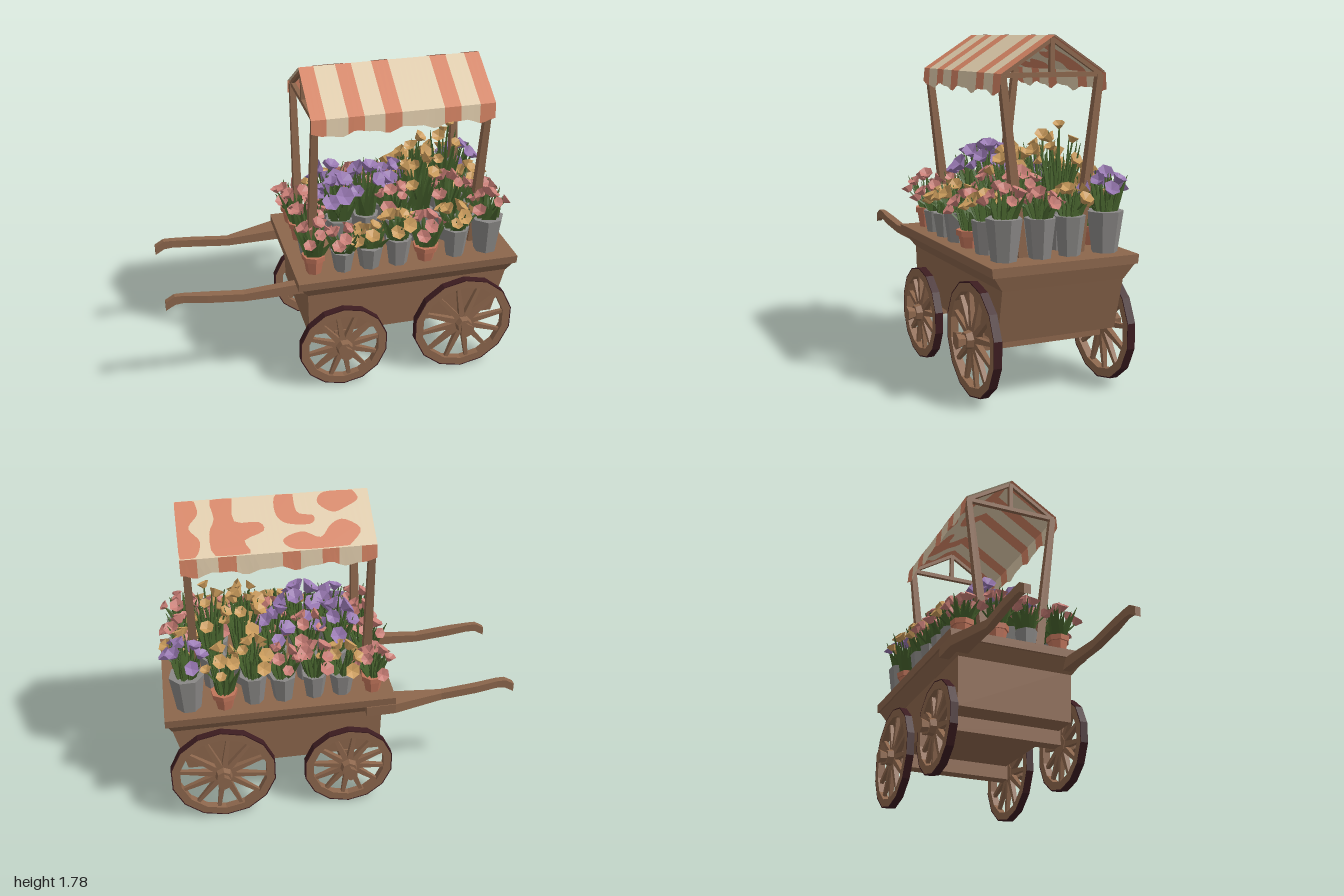
import * as THREE from 'three';
import { mergeGeometries } from 'three/addons/utils/BufferGeometryUtils.js';

const mat = (name, color) => new THREE.MeshStandardMaterial({ name, color, side: THREE.DoubleSide });
const M = {
  wood: mat('wood', 0x8c664c), tyre: mat('dark tyre', 0x3c1c20), grey: mat('bucket grey', 0x8a8886),
  terra: mat('terracotta', 0xc0745a), leaf: mat('leaf green', 0x45602c), cream: mat('cream cloth', 0xdfcbab),
  orange: mat('orange cloth', 0xd58464), pink: mat('pink petals', 0xc97e76),
  yellow: mat('yellow petals', 0xcb9c5c), purple: mat('purple petals', 0x9878b2),
};
const V = (x, y, z) => new THREE.Vector3(x, y, z);
const UP = V(0, 1, 0);

let seed = 7;
const rnd = (a = 0, b = 1) => {
  seed = (seed * 16807) % 2147483647;
  return a + (b - a) * (seed / 2147483647);
};

// faceted copy with only positions and normals
function flat(g) {
  const f = g.index ? g.toNonIndexed() : g;
  f.deleteAttribute('uv');
  f.computeVertexNormals();
  return f;
}
function add(parent, name, material, ...geos) {
  const m = new THREE.Mesh(mergeGeometries(geos.map(flat)), material);
  m.name = name;
  parent.add(m);
  return m;
}
// move each vertex of a geometry by a rule
function bend(g, rule) {
  const p = g.attributes.position, v = V(0, 0, 0);
  for (let i = 0; i < p.count; i++) {
    v.fromBufferAttribute(p, i);
    rule(v);
    p.setXYZ(i, v.x, v.y, v.z);
  }
  return g;
}
// square tapered bar between two points
function beam(a, b, w0, w1 = w0, sides = 4) {
  const d = b.clone().sub(a), len = d.length();
  const g = new THREE.CylinderGeometry(w1 * 0.707, w0 * 0.707, len, sides).rotateY(Math.PI / 4).translate(0, len / 2, 0);
  return g.applyQuaternion(new THREE.Quaternion().setFromUnitVectors(UP, d.normalize())).translate(a.x, a.y, a.z);
}
// box whose lower and upper rectangles differ: [x0, x1, half depth, y]
function frustum(lo, hi) {
  return bend(new THREE.BoxGeometry(1, 1, 1), v => {
    const r = v.y > 0 ? hi : lo;
    v.set(v.x > 0 ? r[1] : r[0], r[3], Math.sign(v.z) * r[2]);
  });
}
// bar along x through stations [x, y, height, z0, z1]
function loft(st) {
  const n = st.length - 1;
  return bend(new THREE.BoxGeometry(1, 1, 1, n, 1, 1), v => {
    const s = st[Math.round((v.x + 0.5) * n)];
    v.set(s[0], s[1] + v.y * s[2], v.z > 0 ? s[4] : s[3]);
  });
}

function wheel(x, R, side, spokes) {
  const w = new THREE.Group();
  w.name = 'wheel';
  const t = 0.021, ri = R - 0.05, ro = R - 0.006;
  const ring = pts => new THREE.LatheGeometry(pts.map(p => new THREE.Vector2(...p)), 14).rotateX(Math.PI / 2);
  add(w, 'rim', M.wood, ring([[ro, t], [ri, t], [ri, -t], [ro, -t]]));
  add(w, 'tyre', M.tyre, ring([[ro, -t], [R, -t], [R, t], [ro, t]]));
  const bars = [];
  for (let i = 0; i < spokes; i++) {
    const a = (i + 0.3) / spokes * Math.PI * 2, c = Math.cos(a), s = Math.sin(a);
    bars.push(beam(V(c * 0.03, s * 0.03, 0), V(c * (ri + 0.01), s * (ri + 0.01), 0), 0.034, 0.019));
  }
  add(w, 'spokes', M.wood, ...bars);
  add(w, 'hub', M.wood,
    new THREE.CylinderGeometry(0.042, 0.058, 0.07, 7).rotateX(side * Math.PI / 2).translate(0, 0, side * 0.015),
    new THREE.CylinderGeometry(0.042, 0.026, 0.05, 6).rotateX(side * Math.PI / 2).translate(0, 0, side * 0.07));
  w.position.set(x, R, side * 0.367);
  return w;
}

// cloth strip from ridge over the eave to a ragged hem; rows are [y, z]
function cloth(x0, x1, side, rows, ragged) {
  const n = Math.max(1, Math.round((x1 - x0) / 0.03)), k = rows.length - 1;
  return bend(new THREE.PlaneGeometry(1, 1, n, k), v => {
    const r = rows[Math.round((0.5 - v.y) * k)], x = x0 + (v.x + 0.5) * (x1 - x0);
    const wave = ragged && r === rows[k] ? 0.012 * Math.sin(x * 24) + 0.006 * Math.sin(x * 51) : 0;
    v.set(x, r[0] + wave, side * r[1]);
  });
}

function awning() {
  const g = new THREE.Group();
  g.name = 'awning';
  const ridge = [1.78, 0], eave = [1.6, 0.283], hem = [1.512, 0.29];
  const cuts = [-0.2, -0.12, -0.005, 0.08, 0.19, 0.28, 0.51, 0.6, 0.705, 0.79];
  const front = [[], []], backHem = [[], []];
  for (let i = 0; i < 9; i++) {
    front[i % 2].push(cloth(cuts[i], cuts[i + 1], 1, [ridge, eave, hem], true));
    backHem[i % 2].push(cloth(cuts[i], cuts[i + 1], -1, [eave, hem], true));
  }
  add(g, 'front stripes', M.orange, ...front[0]);
  add(g, 'front cloth', M.cream, ...front[1]);
  add(g, 'back hem stripes', M.orange, ...backHem[0]);
  add(g, 'back cloth', M.cream, ...backHem[1], cloth(-0.2, 0.79, -1, [ridge, eave]));
  // irregular stains on the back slope: x, share of the way down
  const blots = [
    [[-0.12, 0.02], [0.03, 0.02], [0.07, 0.2], [0, 0.38], [-0.08, 0.3], [-0.14, 0.18]],
    [[-0.06, 0.98], [0.2, 0.98], [0.27, 0.8], [0.17, 0.68], [0.08, 0.8], [0.02, 0.6], [-0.05, 0.52], [-0.13, 0.72]],
    [[0.19, 0.02], [0.28, 0.02], [0.29, 0.34], [0.24, 0.52], [0.12, 0.56], [0.1, 0.42], [0.18, 0.34]],
    [[0.5, 0.02], [0.61, 0.02], [0.6, 0.35], [0.63, 0.6], [0.61, 0.98], [0.44, 0.98], [0.46, 0.76], [0.36, 0.62], [0.38, 0.46], [0.5, 0.42]],
    [[0.69, 0.02], [0.79, 0.02], [0.79, 0.98], [0.71, 0.98], [0.68, 0.72], [0.73, 0.48], [0.68, 0.25]],
  ];
  const plates = [];
  for (const off of [0.003, -0.003]) for (const b of blots) {
    const shape = new THREE.Shape(new THREE.SplineCurve([...b, b[0]].map(p => new THREE.Vector2(...p))).getPoints(30));
    plates.push(bend(new THREE.ShapeGeometry(shape), v => {
      const s = Math.min(0.99, Math.max(0.01, v.y));
      v.set(Math.min(0.79, v.x), 1.78 - 0.18 * s + off, -0.283 * s - off * 0.6);
    }));
  }
  add(g, 'back stains', M.orange, ...plates);

  // posts and gable frames
  const bars = [];
  for (const x of [-0.178, 0.758]) {
    for (const s of [1, -1]) {
      bars.push(beam(V(x, 0.7, s * 0.155), V(x, 1.59, s * 0.265), 0.05, 0.034));
      bars.push(beam(V(x, 1.59, s * 0.272), V(x, 1.762, 0), 0.02));
    }
    bars.push(beam(V(x, 1.592, -0.275), V(x, 1.592, 0.275), 0.024));
    bars.push(beam(V(x, 1.59, 0), V(x, 1.765, 0), 0.024));
  }
  add(g, 'awning frame', M.wood, ...bars);
  return g;
}

function plant([x, z, pot, potH, potR, petals, top]) {
  const g = new THREE.Group();
  g.name = 'potted plant';
  const base = 0.71, turn = rnd(0, 3);
  const potParts = [new THREE.CylinderGeometry(potR, potR * 0.7, potH, 7).rotateY(turn).translate(x, base + potH / 2, z)];
  if (pot === 'terra') potParts.push(new THREE.CylinderGeometry(potR * 1.12, potR * 1.08, 0.03, 7).rotateY(turn).translate(x, base + potH - 0.012, z));
  add(g, 'pot', M[pot], ...potParts);
  const y0 = base + potH - 0.01, H = top - y0, green = [], heads = [];
  // leaf blades
  for (let i = 0; i < 20; i++) {
    const a = i * 2.4 + rnd(), r = rnd(0.02, 0.1), h = H * rnd(0.5, 0.88);
    green.push(beam(V(x + Math.cos(a) * potR * 0.45, y0, z + Math.sin(a) * potR * 0.45),
      V(x + Math.cos(a) * (r + 0.02), y0 + h, z + Math.sin(a) * (r + 0.02)), 0.034, 0.002, 3));
  }
  // stems with crumpled cup flowers
  for (let i = 0; i < 8; i++) {
    const a = i * 2.4 + rnd(0, 0.8), r = 0.02 + 0.095 * Math.sqrt(i / 8), s = (petals === 'purple' ? 0.044 : 0.036) * rnd(0.8, 1.2);
    const tip = V(x + Math.cos(a) * r, top - s - H * (0.45 * i / 8 + rnd(0, 0.1)), z + Math.sin(a) * r);
    green.push(beam(V(x, y0, z), tip, 0.01, 0.007, 3));
    heads.push(bend(new THREE.CylinderGeometry(s, s * 0.35, s, 6), v => {
      if (v.y < 0) return;
      const q = Math.atan2(v.z, v.x);
      if (Math.hypot(v.x, v.z) < 1e-5) v.y -= s * 0.5;
      else { v.y += 0.3 * s * Math.cos(3 * q); v.x *= 1 + 0.2 * Math.cos(2 * q); }
    }).rotateY(a).rotateX(Math.sin(a) * rnd(0.3, 1)).rotateZ(-Math.cos(a) * rnd(0.3, 1)).translate(tip.x, tip.y + s * 0.3, tip.z));
  }
  add(g, 'leaves', M.leaf, ...green);
  add(g, 'flowers', M[petals], ...heads);
  return g;
}

export function createModel() {
  const cart = new THREE.Group();
  cart.name = 'flowerCart';

  // body
  add(cart, 'table top', M.wood, frustum([-0.3, 0.945, 0.395, 0.665], [-0.3, 0.945, 0.4, 0.712]));
  add(cart, 'moulding', M.wood, frustum([-0.235, 0.915, 0.332, 0.59], [-0.285, 0.935, 0.385, 0.666]));
  add(cart, 'body', M.wood, frustum([-0.23, 0.845, 0.325, 0.32], [-0.237, 0.918, 0.332, 0.62]));

  // axles and wheels
  for (const [x, R, n] of [[-0.045, 0.254, 12], [0.657, 0.294, 12]]) {
    add(cart, 'axle', M.wood, new THREE.BoxGeometry(0.08, 0.09, 0.67).translate(x, 0.285, 0));
    for (const side of [1, -1]) cart.add(wheel(x, R, side, n));
  }

  // handles, the far one flaring where it meets the cart
  for (const [name, root, mid, end] of [['left handle', [0.275, 0.325], [0.275, 0.32], [0.28, 0.31]],
    ['right handle', [-0.4, -0.28], [-0.32, -0.28], [-0.31, -0.275]]]) {
    add(cart, name, M.wood, loft([[-0.14, 0.635, 0.06, ...root], [-0.3, 0.638, 0.06, ...root], [-0.58, 0.627, 0.045, ...mid],
      [-0.78, 0.648, 0.045, ...mid], [-0.9, 0.662, 0.045, ...end], [-0.95, 0.66, 0.05, ...end], [-1, 0.63, 0.05, ...end]]));
  }

  cart.add(awning());

  // plants: x, z, pot, pot height, pot radius, petals, flower top
  const plants = [
    [-0.19, 0.28, 'terra', 0.11, 0.06, 'pink', 1.04], [-0.03, 0.29, 'grey', 0.12, 0.068, 'pink', 0.99],
    [0.12, 0.29, 'grey', 0.13, 0.075, 'yellow', 0.99], [0.28, 0.29, 'grey', 0.16, 0.075, 'yellow', 1.05],
    [0.44, 0.29, 'terra', 0.09, 0.065, 'pink', 1.02], [0.615, 0.28, 'grey', 0.17, 0.075, 'yellow', 1.04],
    [0.8, 0.27, 'grey', 0.21, 0.092, 'pink', 1.1],
    [-0.18, 0.09, 'grey', 0.12, 0.065, 'pink', 1.06], [0, 0.08, 'grey', 0.2, 0.075, 'purple', 1.19],
    [0.16, 0.05, 'grey', 0.2, 0.075, 'purple', 1.26], [0.32, 0.1, 'grey', 0.18, 0.075, 'pink', 1.12],
    [0.47, 0.08, 'grey', 0.2, 0.075, 'yellow', 1.27], [0.63, 0.1, 'grey', 0.17, 0.075, 'pink', 1.16],
    [0.81, 0.08, 'grey', 0.2, 0.08, 'pink', 1.07],
    [-0.19, -0.09, 'terra', 0.11, 0.06, 'pink', 1.06], [-0.02, -0.1, 'grey', 0.16, 0.07, 'purple', 1.2],
    [0.15, -0.11, 'grey', 0.16, 0.07, 'pink', 1.15], [0.32, -0.08, 'grey', 0.18, 0.075, 'purple', 1.17],
    [0.49, -0.1, 'grey', 0.2, 0.075, 'yellow', 1.3], [0.66, -0.1, 'grey', 0.2, 0.075, 'yellow', 1.36],
    [0.81, -0.08, 'grey', 0.2, 0.08, 'yellow', 1.08],
    [-0.19, -0.29, 'terra', 0.1, 0.06, 'pink', 0.99], [-0.02, -0.28, 'grey', 0.13, 0.07, 'yellow', 1.04],
    [0.13, -0.28, 'grey', 0.14, 0.07, 'pink', 1.06], [0.3, -0.28, 'grey', 0.15, 0.075, 'pink', 1.05],
    [0.46, -0.28, 'grey', 0.17, 0.075, 'yellow', 1.12], [0.62, -0.31, 'terra', 0.1, 0.065, 'yellow', 1.12],
    [0.81, -0.28, 'grey', 0.21, 0.095, 'purple', 1.15],
  ];
  for (const p of plants) cart.add(plant(p));
  return cart;
}
